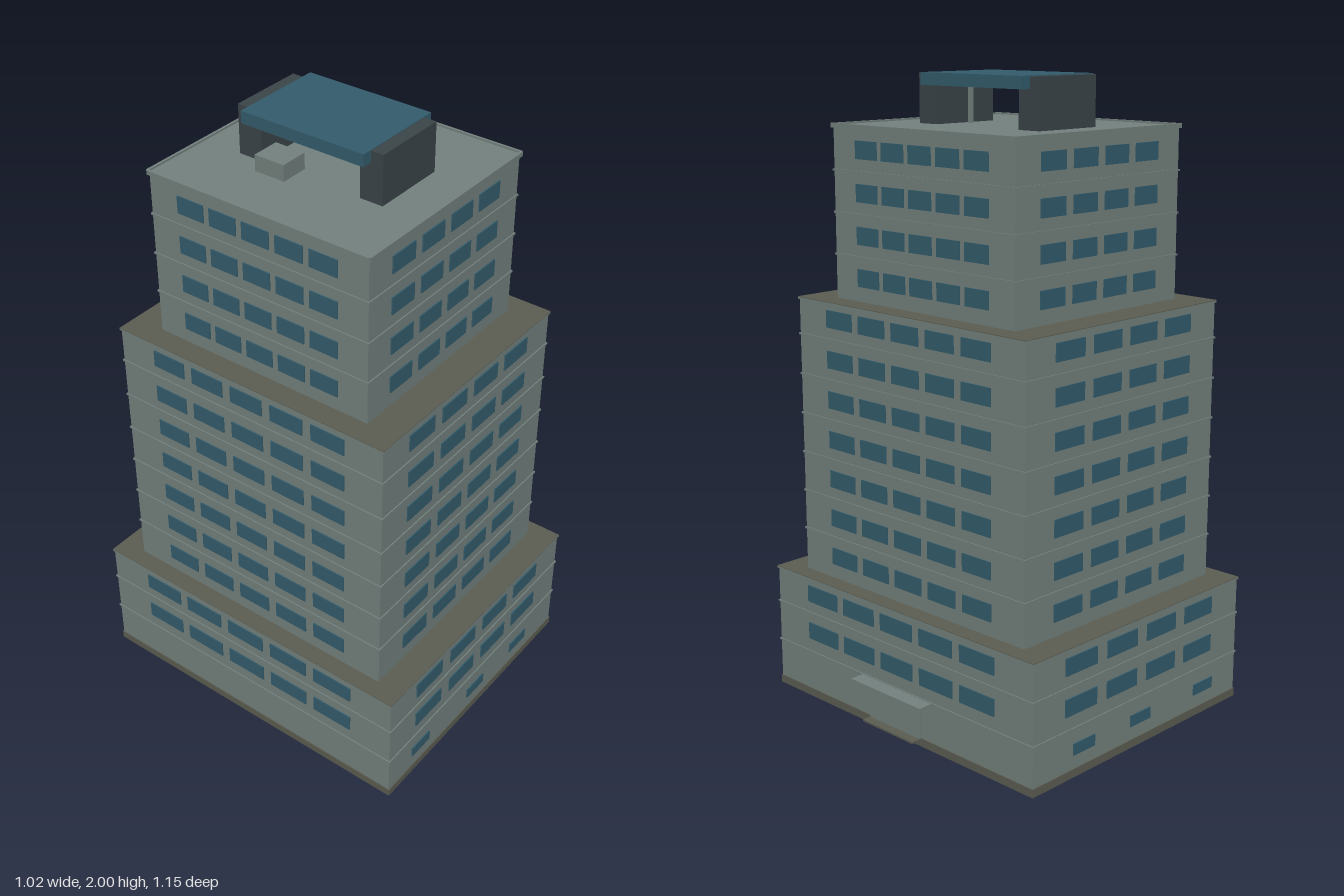
import * as THREE from 'three';

const material = (name, color) => {
  const m = new THREE.MeshStandardMaterial({ color });
  m.name = name;
  return m;
};

export function createModel() {
  const wall = material('greyWall', 0x74827f);
  const glass = material('blueGlass', 0x345d6d);
  const olive = material('oliveStone', 0x5c5e52);
  const dark = material('darkMetal', 0x3c4549);

  const model = new THREE.Group();
  model.name = 'officeTower';
  const CX = -0.025; // tower axis

  // Box given by its lower and upper corners
  function box(parent, name, mat, x0, x1, y0, y1, z0, z1) {
    const mesh = new THREE.Mesh(new THREE.BoxGeometry(x1 - x0, y1 - y0, z1 - z0), mat);
    mesh.position.set((x0 + x1) / 2, (y0 + y1) / 2, (z0 + z1) / 2);
    mesh.name = name;
    parent.add(mesh);
    return mesh;
  }

  // Window plates on two opposite walls
  const OUT = 0.004;
  function frontBackWindow(parent, x, y, w, h, hz) {
    for (const s of [-1, 1]) {
      const z = s * hz;
      box(parent, 'window', glass, x - w / 2, x + w / 2, y - h / 2, y + h / 2, z - OUT, z + OUT);
    }
  }
  function sideWindow(parent, z, y, w, h, hx) {
    for (const s of [-1, 1]) {
      const x = CX + s * hx;
      box(parent, 'window', glass, x - OUT, x + OUT, y - h / 2, y + h / 2, z - w / 2, z + w / 2);
    }
  }

  // Half sizes, heights, window rows, [width, pitch] on front and side walls
  const tiers = [
    { name: 'baseTier', hx: 0.48, hz: 0.571, y0: 0.025, y1: 0.41, rows: [0.228, 0.356],
      front: [0.137, 0.184], side: [0.142, 0.174], ledges: [0.155, 0.29], roof: olive },
    { name: 'middleTier', hx: 0.427, hz: 0.486, y0: 0.41, y1: 1.31,
      rows: [0, 1, 2, 3, 4, 5, 6].map(i => 0.486 + i * 0.1287),
      front: [0.122, 0.162], side: [0.117, 0.148],
      ledges: [0, 1, 2, 3, 4, 5].map(i => 0.55 + i * 0.1287), roof: olive },
    { name: 'topTier', hx: 0.359, hz: 0.382, y0: 1.31, y1: 1.842,
      rows: [0, 1, 2, 3].map(i => 1.386 + i * 0.1297),
      front: [0.103, 0.137], side: [0.095, 0.1165],
      ledges: [0, 1, 2].map(i => 1.45 + i * 0.1297), roof: wall },
  ];

  for (const t of tiers) {
    const g = new THREE.Group();
    g.name = t.name;
    model.add(g);
    box(g, 'walls', wall, CX - t.hx, CX + t.hx, t.y0, t.y1, -t.hz, t.hz);

    // Thin ledges marking each floor
    const e = 0.004;
    for (const y of t.ledges) {
      box(g, 'floorLedge', wall, CX - t.hx - e, CX + t.hx + e, y - 0.003, y + 0.003, -t.hz - e, t.hz + e);
    }
    // Roof edge and roof surface
    box(g, 'roofEdge', wall, CX - t.hx - e, CX + t.hx + e, t.y1 - 0.006, t.y1, -t.hz - e, t.hz + e);
    box(g, 'roofSurface', t.roof, CX - t.hx - e, CX + t.hx + e, t.y1, t.y1 + 0.002, -t.hz - e, t.hz + e);

    // Four windows per floor on front and back, five on each side
    for (const y of t.rows) {
      for (let i = 0; i < 4; i++) frontBackWindow(g, CX + (i - 1.5) * t.front[1], y, t.front[0], 0.055, t.hz);
      for (let i = 0; i < 5; i++) sideWindow(g, (i - 2) * t.side[1], y, t.side[0], 0.055, t.hx);
    }
  }

  // Ground floor: plinth and small windows
  const ground = new THREE.Group();
  ground.name = 'groundFloor';
  model.add(ground);
  box(ground, 'plinth', olive, CX - 0.483, CX + 0.483, 0, 0.026, -0.574, 0.574);
  for (const x of [-0.336, -0.024, 0.236]) frontBackWindow(ground, x, 0.088, 0.095, 0.036, 0.571);

  // Entrance on the left side: door, canopy and step
  const entrance = new THREE.Group();
  entrance.name = 'entrance';
  model.add(entrance);
  box(entrance, 'door', wall, 0.45, 0.467, 0.026, 0.142, -0.112, 0.115);
  box(entrance, 'canopy', wall, 0.45, 0.507, 0.148, 0.156, -0.157, 0.157);
  box(entrance, 'step', olive, 0.45, 0.497, 0.022, 0.028, -0.112, 0.115);

  // Low rim around the top roof
  const rim = new THREE.Group();
  rim.name = 'roofRim';
  model.add(rim);
  const [rx, rz] = [0.363, 0.386];
  for (const s of [-1, 1]) {
    box(rim, 'rimSide', wall, CX + s * rx - 0.004, CX + s * rx + 0.004, 1.836, 1.85, -rz, rz);
    box(rim, 'rimEnd', wall, CX - rx, CX + rx, 1.836, 1.85, s * rz - 0.004, s * rz + 0.004);
  }

  // Rooftop plant: two dark blocks carrying a blue slab
  const plant = new THREE.Group();
  plant.name = 'rooftopPlant';
  model.add(plant);
  box(plant, 'supportBlock', dark, -0.148, 0.098, 1.842, 1.998, 0.175, 0.251);
  box(plant, 'supportBlock', dark, -0.148, 0.098, 1.842, 1.998, -0.251, -0.17);
  box(plant, 'canopySlab', glass, -0.18, 0.131, 1.962, 2.0, -0.214, 0.21);
  box(plant, 'ventBox', wall, -0.203, -0.11, 1.842, 1.895, -0.149, -0.046);
  box(plant, 'post', wall, -0.03, -0.018, 1.842, 1.965, 0.145, 0.157);

  return model;
}
